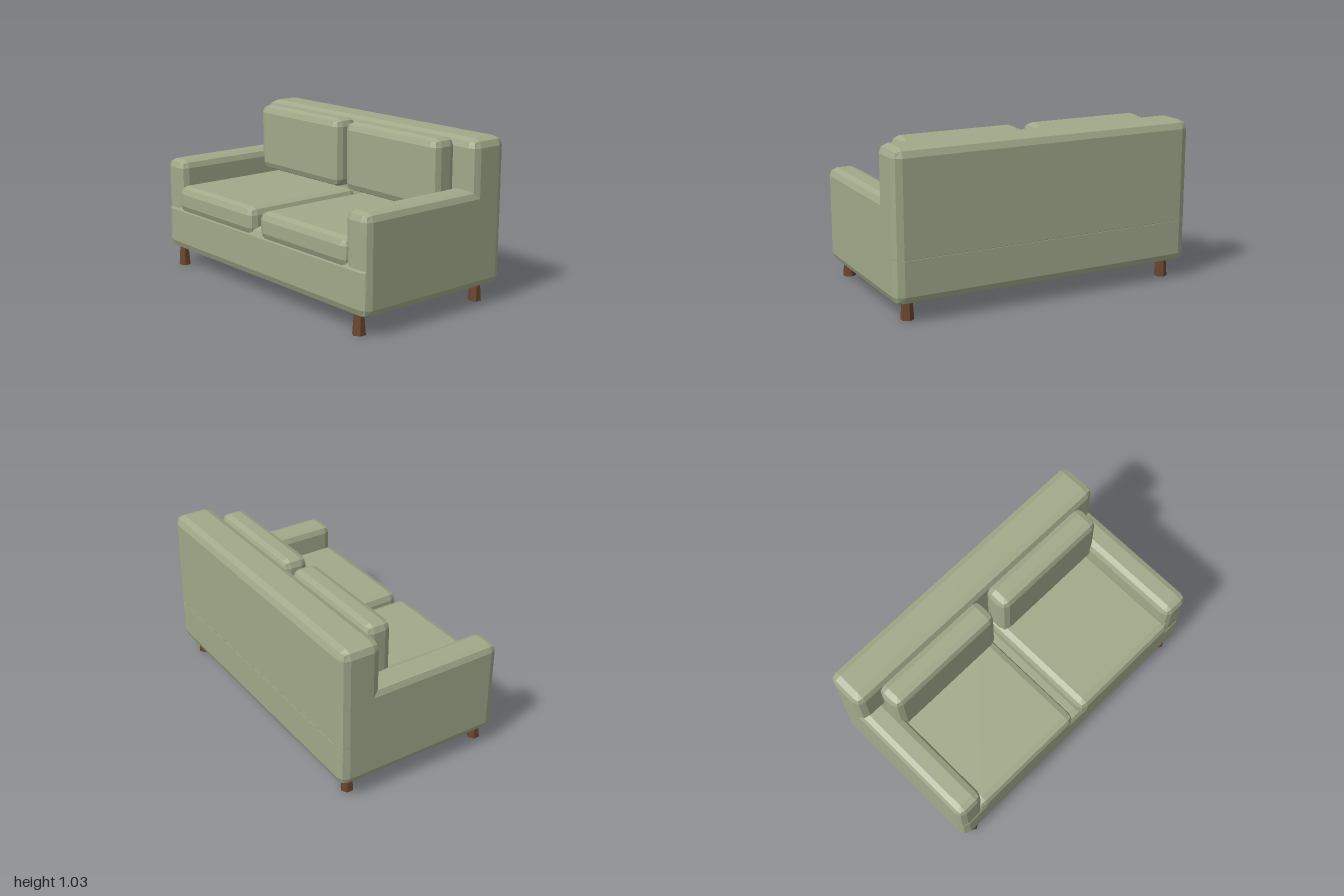
import * as THREE from 'three';
import { RoundedBoxGeometry } from 'three/addons/geometries/RoundedBoxGeometry.js';

const fabric = new THREE.MeshStandardMaterial({ color: 0xa0a98a });
fabric.name = 'sageFabric';
const wood = new THREE.MeshStandardMaterial({ color: 0x6b452c });
wood.name = 'brownWood';

// Upholstered block with a two-facet bevel, given by its extents
function block(name, [x0, x1], [y0, y1], [z0, z1], bevel) {
  const geometry = new RoundedBoxGeometry(x1 - x0, y1 - y0, z1 - z0, 1, bevel);
  geometry.computeVertexNormals(); // unshared corners give flat facets
  const mesh = new THREE.Mesh(geometry, fabric);
  mesh.name = name;
  mesh.position.set((x0 + x1) / 2, (y0 + y1) / 2, (z0 + z1) / 2);
  return mesh;
}

// Six-sided leg, wider at the floor
function leg(name, x, z) {
  const geometry = new THREE.CylinderGeometry(0.031, 0.041, 0.13, 6).toNonIndexed();
  geometry.computeVertexNormals();
  const mesh = new THREE.Mesh(geometry, wood);
  mesh.name = name;
  mesh.position.set(x, 0.065, z);
  return mesh;
}

export function createModel() {
  const sofa = new THREE.Group();
  sofa.name = 'sofa';

  // Frame
  sofa.add(
    block('base', [-0.999, 0.999], [0.113, 0.44], [-0.56, 0.549], 0.055),
    block('backrest', [-1, 1], [0.335, 1.03], [-0.56, -0.297], 0.055),
  );

  // Mirrored arms, cushions and legs
  for (const [side, s] of [['left', 1], ['right', -1]]) {
    const span = (a, b) => (s > 0 ? [a, b] : [-b, -a]);
    sofa.add(
      block(side + 'Arm', span(0.81, 1), [0.115, 0.722], [-0.553, 0.543], 0.05),
      block(side + 'SeatCushion', span(0.033, 0.85), [0.38, 0.56], [-0.3, 0.56], 0.05),
      block(side + 'BackCushion', span(0.033, 0.85), [0.585, 1.03], [-0.298, -0.125], 0.05),
      leg(side + 'FrontLeg', s * 0.89, 0.495),
      leg(side + 'BackLeg', s * 0.89, -0.45),
    );
  }
  return sofa;
}
